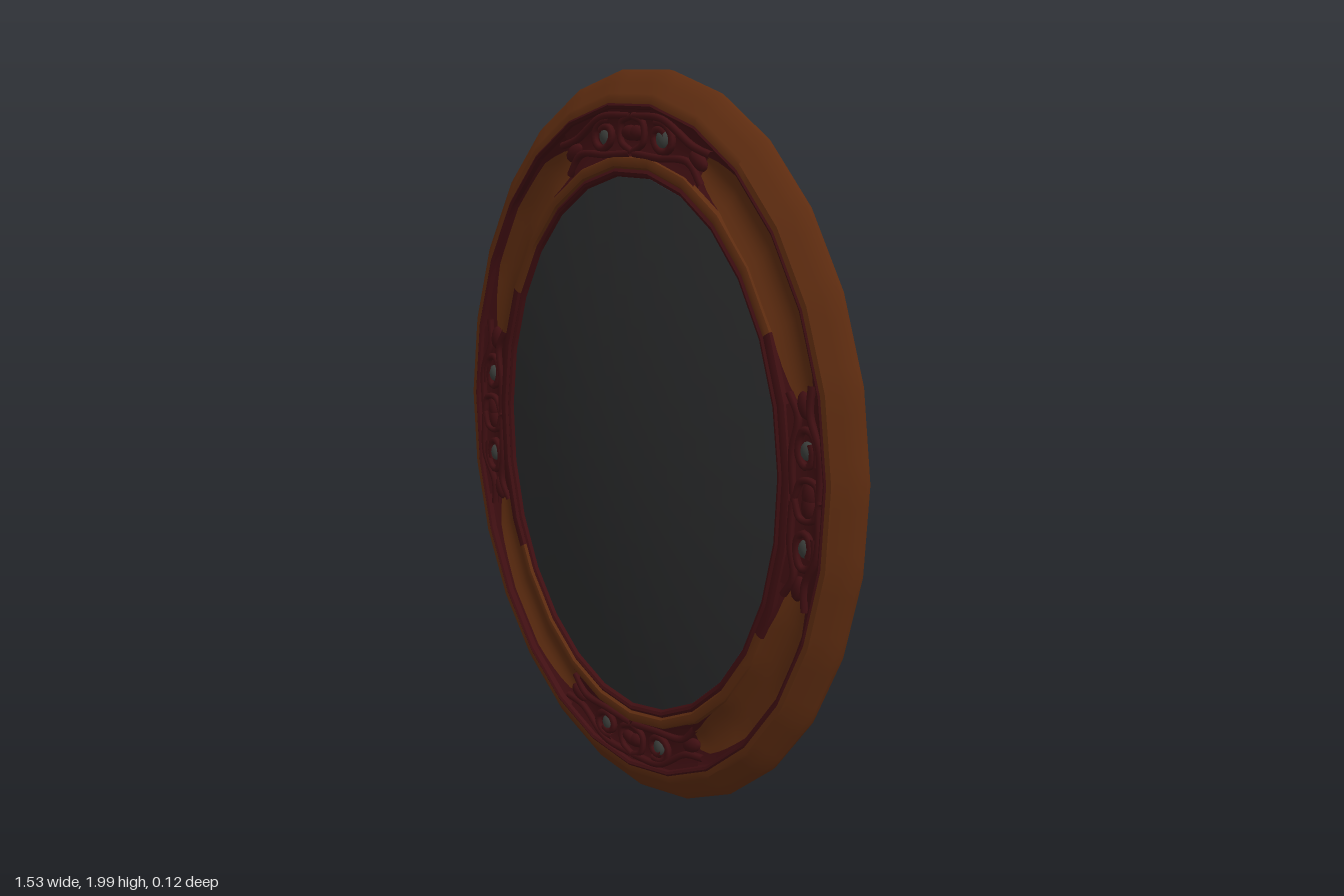
import * as THREE from 'three';
import { toCreasedNormals } from 'three/addons/utils/BufferGeometryUtils.js';

const SIDES = 27, N = 108, STEP = Math.PI * 2 / N;

// point on the faceted oval; s runs from the outer edge (0) to the glass (1), k scales it
function oval(i, s, z, k = 1) {
  const per = N / SIDES, q = Math.floor(i / per + 1e-6), f = i / per - q;
  const corner = n => {
    const a = -Math.PI / 2 + n * Math.PI * 2 / SIDES;
    return new THREE.Vector3(Math.cos(a) * (0.765 - 0.24 * s) * k, 1 + Math.sin(a) * (1 - 0.27 * s) * k, z);
  };
  return corner(q).lerp(corner(q + 1), f);
}

// surface over steps from..to around the oval and a number of rows across it
function sweep(from, to, rows, fn, crease = 0.6) {
  const pos = [], idx = [], n = to - from;
  for (let i = 0; i <= n; i++)
    for (let j = 0; j < rows; j++) pos.push(...fn(from + i, j, i / n).toArray());
  for (let i = 0; i < n; i++)
    for (let j = 0; j < rows - 1; j++) {
      const a = i * rows + j, b = a + rows;
      idx.push(a, b, a + 1, b, b + 1, a + 1);
    }
  const g = new THREE.BufferGeometry();
  g.setAttribute('position', new THREE.Float32BufferAttribute(pos, 3));
  g.setIndex(idx);
  return toCreasedNormals(g, crease);
}
const profile = (pts, from = 0, to = N) =>
  sweep(from, to, pts.length, (i, j) => oval(i, pts[j][0], pts[j][1]));

const coveZ = s => -0.02 + 0.022 * Math.pow((s - 0.57) / 0.22, 2);

export function createModel() {
  const model = new THREE.Group();
  const mat = (name, color) => {
    const m = new THREE.MeshStandardMaterial({ color });
    m.name = name;
    return m;
  };
  const wood = mat('brown wood', 0x5e2c10);
  const red = mat('dark red carving', 0x400f12);
  const glassMat = mat('dark glass', 0x2b2c2d);
  const backing = mat('backing board', 0x40301f);
  const metal = mat('grey metal', 0x3c3f3c);
  const add = (name, geo, m, parent = model) => {
    const mesh = new THREE.Mesh(geo, m);
    mesh.name = name;
    parent.add(mesh);
    return mesh;
  };

  // outer moulding: hollow back, rounded edge, sloping front
  add('outerFrame', profile([[0.7, -0.03], [0.55, -0.037], [0.35, -0.048], [0.15, -0.058], [0.04, -0.063],
    [0.01, -0.06], [0, -0.045], [0.03, -0.032], [0.12, -0.012], [0.22, 0.006], [0.25, 0.012], [0.31, 0.013]]), wood);
  add('outerBead', profile([[0.31, 0.013], [0.33, 0.016], [0.355, 0.012], [0.37, -0.001]]), red);

  // hollow channel, with four smooth wooden panels laid along it
  const across = [0.35, 0.42, 0.5, 0.57, 0.64, 0.72, 0.8];
  add('channel', profile(across.map(s => [s, coveZ(s) - 0.004])), red);
  for (const start of [7, 32, 61, 86]) {
    add('smoothPanel', sweep(start, start + 15, 7, (i, j, f) => {
      const e = Math.pow(Math.abs(2 * f - 1), 4);
      const lo = 0.39 + 0.12 * e, hi = 0.8 - 0.1 * e;
      const s = lo + (hi - lo) * j / 6;
      return oval(i, s, coveZ(s));
    }), wood);
  }

  // inner lip: red along the sides, wooden at top and bottom
  const lip = [[0.79, -0.002], [0.81, 0.009], [0.85, 0.013], [0.9, 0.011], [0.92, 0.004]];
  for (const [a, b, m] of [[18, 36, red], [36, 72, wood], [72, 90, red], [90, 126, wood]])
    add('innerLip', profile(lip, a, b), m);
  add('glassBead', profile([[0.92, 0.004], [0.95, 0.009], [0.98, 0.006], [1, -0.004]]), red);

  // bulging glass and flat back board
  add('glass', sweep(0, N, 10, (i, j) => {
    const r = 1 - j / 9;
    return oval(i, 1, 0.06 - 0.062 * r * r, r);
  }, 1), glassMat);
  add('backBoard', sweep(0, N, 2, (i, j) => oval(i, 0.7, -0.03, j)), backing);

  // carved panels: a mirrored pair of scrolls with leaves in each
  const ball = new THREE.SphereGeometry(1, 10, 6);
  for (const [from, to, eye] of [[22, 32, 2.5], [47, 61, 3], [76, 86, 2.5], [101, 115, 3]]) {
    const carving = new THREE.Group();
    carving.name = 'carvedPanel';
    model.add(carving);
    add('carvedGround', profile([[0.36, 0.004], [0.45, -0.004], [0.57, -0.008], [0.7, -0.004], [0.8, 0.004]], from, to), red, carving);
    const mid = (from + to) / 2, half = (to - from) / 2;
    for (const side of [-1, 1]) {
      // local point: u steps away from the panel's middle, s across the frame
      const at = (u, s, z) => oval((mid + side * u + N) % N, s, z);
      const tube = (name, pts, r) => add(name,
        new THREE.TubeGeometry(new THREE.CatmullRomCurve3(pts), 24, r, 6), red, carving);
      const spiral = [];
      for (let k = 0; k <= 10; k++) {
        const a = -2.2 + k * 0.75, r = 1 - k * 0.05;
        spiral.push(at(eye + Math.cos(a) * 1.25 * r, 0.58 + Math.sin(a) * 0.15 * r, 0.001));
      }
      tube('scroll', spiral, 0.01);
      tube('stem', [at(0, 0.76, 0.002), at(eye * 0.4, 0.66, 0.002), at(eye * 0.35, 0.48, 0.002), at(0, 0.42, 0.002)], 0.009);
      tube('outerVine', [at(0.2, 0.42, 0.002), at(eye, 0.4, 0.004), at(half * 0.85, 0.5, 0.001), at(half + 0.6, 0.43, 0)], 0.01);
      tube('innerVine', [at(0.2, 0.77, 0.002), at(eye, 0.76, 0.004), at(half * 0.85, 0.66, 0.001), at(half + 0.6, 0.74, 0)], 0.01);
      const stud = add('scrollEye', ball, metal, carving);
      stud.position.copy(at(eye, 0.58, -0.002));
      stud.scale.set(0.02, 0.024, 0.012);
      for (const [u, s] of [[half * 0.95, 0.58], [0.3, 0.58]]) {
        const leaf = add('leaf', ball, red, carving);
        leaf.position.copy(at(u, s, -0.004));
        const d = at(u + 0.5, s, 0).sub(at(u, s, 0));
        leaf.rotation.z = Math.atan2(d.y, d.x);
        leaf.scale.set(0.035, 0.02, 0.014);
      }
    }
  }

  // metal fittings on the back: two hangers and four retaining points
  const arrow = (l, w, tip) => {
    const shape = new THREE.Shape([[0, -w], [l, -w], [l, -w * 1.3], [l + tip, 0], [l, w * 1.3], [l, w], [0, w]]
      .map(p => new THREE.Vector2(...p)));
    return new THREE.ExtrudeGeometry(shape, { depth: 0.009, bevelEnabled: false });
  };
  const hanger = arrow(0.065, 0.019, 0.04), point = arrow(0.02, 0.009, 0.022);
  for (const side of [-1, 1]) {
    const h = add('hanger', hanger, metal);
    h.position.set(side * 0.43, 1.38, -0.039);
    h.rotation.z = side > 0 ? Math.PI + 0.3 : -0.3;
  }
  for (let k = 0; k < 4; k++) {
    const a = k * Math.PI / 2;
    const p = add('retainingPoint', point, metal);
    p.position.set(Math.cos(a) * 0.595, 1 + Math.sin(a) * 0.8, -0.039);
    p.rotation.z = a + Math.PI;
  }
  return model;
}
